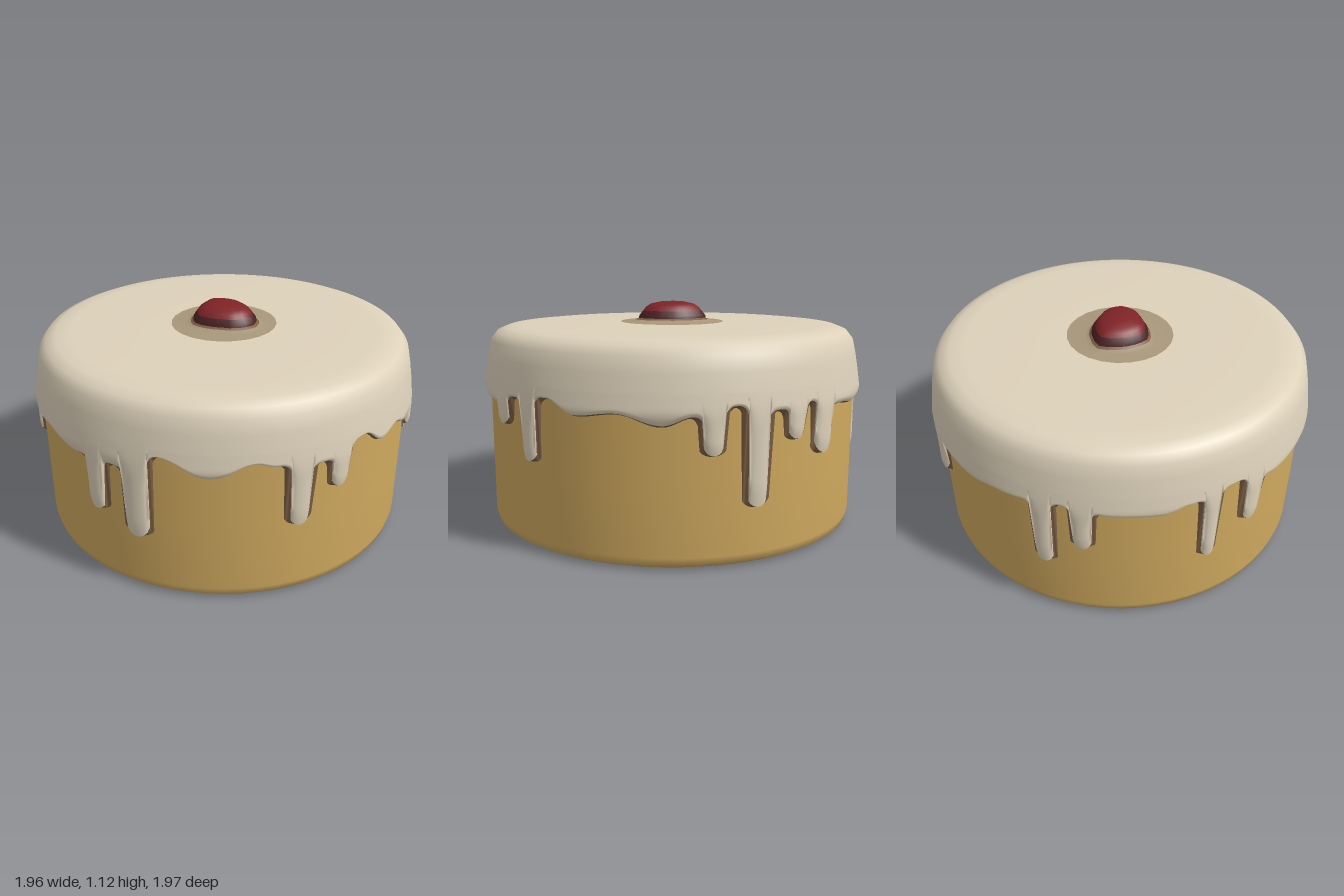
import * as THREE from 'three';

const mat = (name, color, side = THREE.FrontSide) => {
  const m = new THREE.MeshStandardMaterial({ color, side });
  m.name = name;
  return m;
};

// closed surface around the y axis: at(row, angle) gives [radius, height], rows run from the top down
function ringSurface(rows, cols, at) {
  const pos = [], idx = [];
  for (let j = 0; j < rows; j++) {
    for (let i = 0; i < cols; i++) {
      const t = (i / cols) * Math.PI * 2;
      const [r, y] = at(j, t);
      pos.push(r * Math.sin(t), y, r * Math.cos(t));
      if (j === rows - 1) continue;
      const a = j * cols + i, b = j * cols + (i + 1) % cols;
      idx.push(a, a + cols, b, b, a + cols, b + cols);
    }
  }
  const g = new THREE.BufferGeometry();
  g.setAttribute('position', new THREE.Float32BufferAttribute(pos, 3));
  g.setIndex(idx);
  g.computeVertexNormals();
  return g;
}

// drips: angle from the front in degrees, lowest height, half width
const drips = [
  [-2, 0.40, 0.05], [11, 0.32, 0.06], [55, 0.40, 0.048], [67, 0.55, 0.045],
  [108, 0.58, 0.055], [121, 0.44, 0.045], [173, 0.52, 0.045], [185, 0.28, 0.05],
  [197, 0.56, 0.045], [208, 0.47, 0.06], [253, 0.34, 0.045], [264, 0.47, 0.045],
  [299, 0.35, 0.035], [313, 0.47, 0.048],
];
// wavy hem between the drips: angle, height
const hem = [
  [0, 0.67], [5, 0.66], [18, 0.755], [31, 0.67], [43, 0.74], [48, 0.72], [61, 0.70], [75, 0.765],
  [83, 0.69], [90, 0.72], [99, 0.67], [114, 0.72], [128, 0.74], [137, 0.68], [148, 0.70], [160, 0.65],
  [168, 0.69], [179, 0.73], [191, 0.70], [203, 0.72], [216, 0.68], [228, 0.66], [240, 0.69],
  [259, 0.72], [274, 0.68], [285, 0.67], [292, 0.71], [306, 0.75], [325, 0.67], [338, 0.69], [348, 0.64], [360, 0.67],
];

function hemAt(deg) {
  const k = Math.max(1, hem.findIndex((h) => h[0] >= deg));
  const [a0, y0] = hem[k - 1], [a1, y1] = hem[k];
  const u = (deg - a0) / (a1 - a0);
  return y0 + (y1 - y0) * (0.5 - 0.5 * Math.cos(u * Math.PI));
}

// lower border of the icing; grow widens the drips. Returns height and nearness to a drip centre line
function border(t, grow) {
  const deg = THREE.MathUtils.radToDeg(t);
  let y = hemAt(deg), core = 0;
  const base = y, flare = 0.045;
  for (const [a, low, half] of drips) {
    const w = half + grow;
    const d = Math.abs(((deg - a + 540) % 360) - 180) * Math.PI / 180 * 0.98;
    if (d < w) {
      y = Math.min(y, low + half - half * Math.sqrt(1 - (d / w) ** 2));
      core = Math.max(core, Math.sqrt(1 - (d / w) ** 2));
    } else if (d < w + flare) {
      const q = (w + flare - d) / flare;
      y = Math.min(y, base - flare + flare * Math.sqrt(1 - q * q));
    }
  }
  return { y, core };
}

const COLS = 720, LOWER = 9;
const crown = [[0, 1.012], [0.4, 1.012], [0.78, 1.008], [0.86, 1.0], [0.91, 0.98], [0.942, 0.94], [0.958, 0.87], [0.972, 0.79]];

function icingPoint(j, t) {
  if (j < crown.length) return crown[j];
  const { y: end, core } = border(t, 0);
  const k = (j - crown.length + 1) / LOWER;
  const y = 0.79 + (end - 0.79) * k;
  const full = 0.972 + 0.014 * Math.min(1, (0.79 - y) / 0.1);
  const rounded = 0.966 + 0.02 * core;
  const r = THREE.MathUtils.lerp(full, rounded, THREE.MathUtils.smoothstep(0.72 - y, 0, 0.1));
  return [k === 1 ? r - 0.008 : r, y];
}

// uneven outline of the berry, as radii around the circle starting from the front
const outline = [0.145, 0.14, 0.165, 0.185, 0.17, 0.145, 0.145, 0.155, 0.185, 0.165, 0.16, 0.165];
function berryRadius(t) {
  const u = (t / (Math.PI * 2)) * outline.length;
  const i = Math.floor(u) % outline.length;
  return THREE.MathUtils.lerp(outline[i], outline[(i + 1) % outline.length], u - Math.floor(u));
}
const berryBand = (list) => ringSurface(list.length, 24, (j, t) => [berryRadius(t) * list[j][0], list[j][1]]);

export function createModel() {
  const model = new THREE.Group();
  model.name = 'cake';
  const sponge = mat('golden sponge', 0xcfa95f);
  const cream = mat('cream icing', 0xddd1ba);
  const brown = mat('brown icing edge', 0x7d5f45, THREE.DoubleSide);
  const tan = mat('tan stain', 0xa8977a);
  const red = mat('berry red', 0x7f2327);
  const dark = mat('dark berry', 0x4c2124);
  const add = (name, geometry, material) => {
    const mesh = new THREE.Mesh(geometry, material);
    mesh.name = name;
    model.add(mesh);
  };

  // sponge body with a softly rounded foot
  const profile = [[0, 0], [0.86, 0], [0.915, 0.006], [0.94, 0.022], [0.95, 0.06], [0.951, 0.4], [0.951, 0.85]];
  add('spongeBody', new THREE.LatheGeometry(profile.map((p) => new THREE.Vector2(...p)), 72), sponge);

  // icing cap with drips, and the brown edge joining it to the sponge
  add('icing', ringSurface(crown.length + LOWER, COLS, icingPoint), cream);
  add('icingEdge', ringSurface(2, COLS, (j, t) =>
    j === 0 ? icingPoint(crown.length + LOWER - 1, t) : [0.953, border(t, 0.022).y - 0.008]), brown);

  // stain around the berry, rising to meet it
  add('berryStain', ringSurface(3, 24, (j, t) => [
    [berryRadius(t) * 1.06, 1.026], [berryRadius(t) * 1.2, 1.016], [0.272, 1.014],
  ][j]), tan);
  add('berryCollar', berryBand([[0.95, 1.038], [1.07, 1.025]]), brown);

  // berry: dark sides and a red top
  add('berrySides', berryBand([[0.86, 1.072], [0.97, 1.048], [0.99, 1.028]]), dark);
  add('berryTop', berryBand([[0, 1.12], [0.35, 1.117], [0.64, 1.106], [0.78, 1.09], [0.86, 1.072]]), red);
  return model;
}
